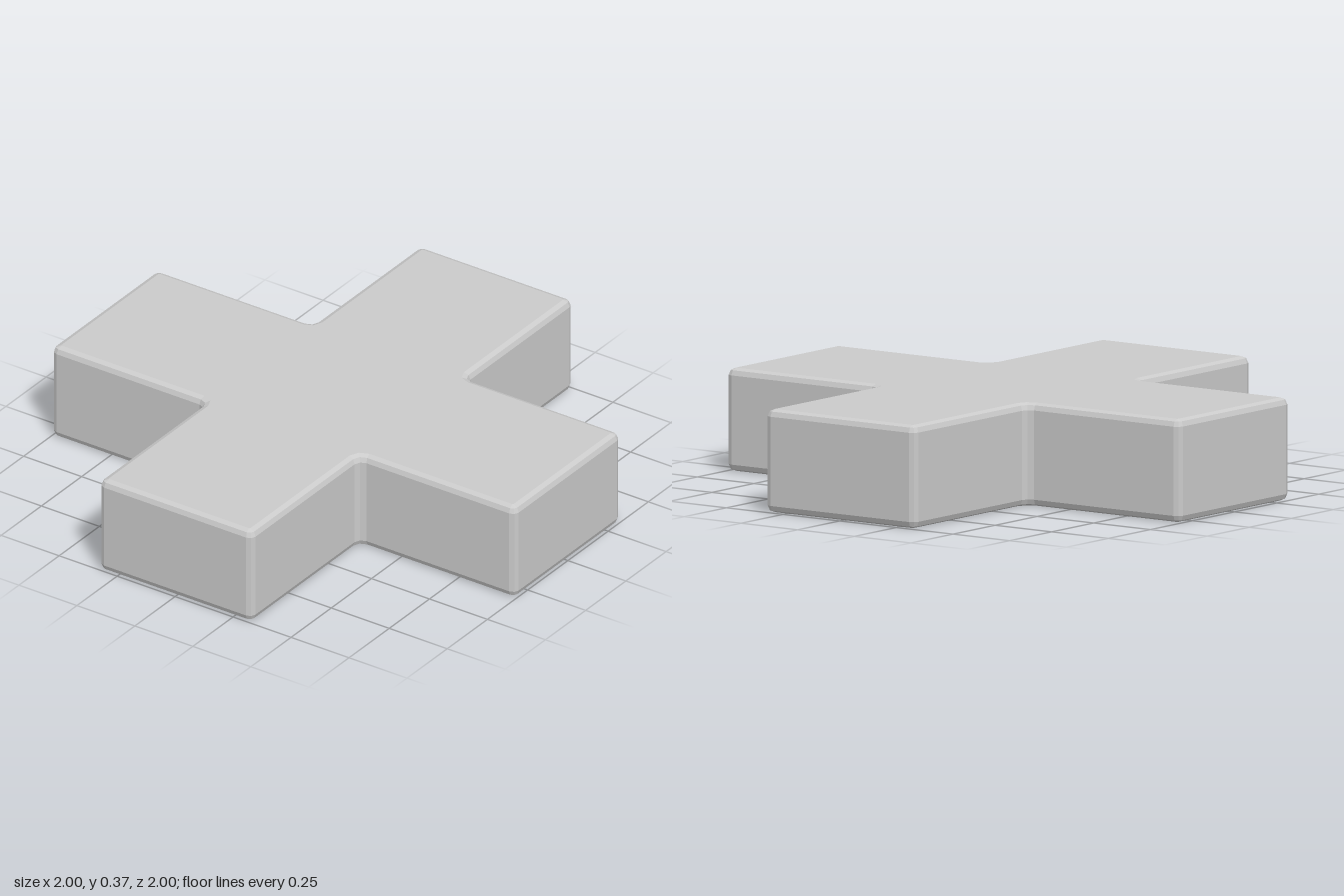
import * as THREE from 'three';

const REACH = 1, HALF_WIDTH = 0.33, HEIGHT = 0.37, BEVEL = 0.025;

// Plus outline, inset by the bevel; each arm adds two outer corners and one inner fillet.
function plusOutline() {
  const l = REACH - BEVEL, w = HALF_WIDTH - BEVEL;
  const tip = 0.004, fillet = 0.05, q = Math.PI / 2;
  const shape = new THREE.Shape();
  for (let i = 0; i < 4; i++) {
    const turn = i * q, c = Math.round(Math.cos(turn)), s = Math.round(Math.sin(turn));
    const arc = (x, y, r, from, to, clockwise) =>
      shape.absarc(x * c - y * s, x * s + y * c, r, from + turn, to + turn, clockwise);
    arc(l - tip, tip - w, tip, -q, 0, false);
    arc(l - tip, w - tip, tip, 0, q, false);
    arc(w + fillet, w + fillet, fillet, -q, -2 * q, true);
  }
  return shape;
}

export function createModel() {
  const group = new THREE.Group();
  group.name = 'plusBlock';

  // Solid plus with rounded top and bottom edges, laid flat on the ground
  const geometry = new THREE.ExtrudeGeometry(plusOutline(), {
    depth: HEIGHT - 2 * BEVEL,
    bevelEnabled: true,
    bevelThickness: BEVEL,
    bevelSize: BEVEL,
    bevelSegments: 2,
    curveSegments: 1,
  });
  geometry.rotateX(-Math.PI / 2);
  geometry.translate(0, BEVEL, 0);

  const body = new THREE.Mesh(
    geometry,
    new THREE.MeshStandardMaterial({ color: 0xcccccc, flatShading: true })
  );
  body.name = 'plusBody';
  group.add(body);
  return group;
}
